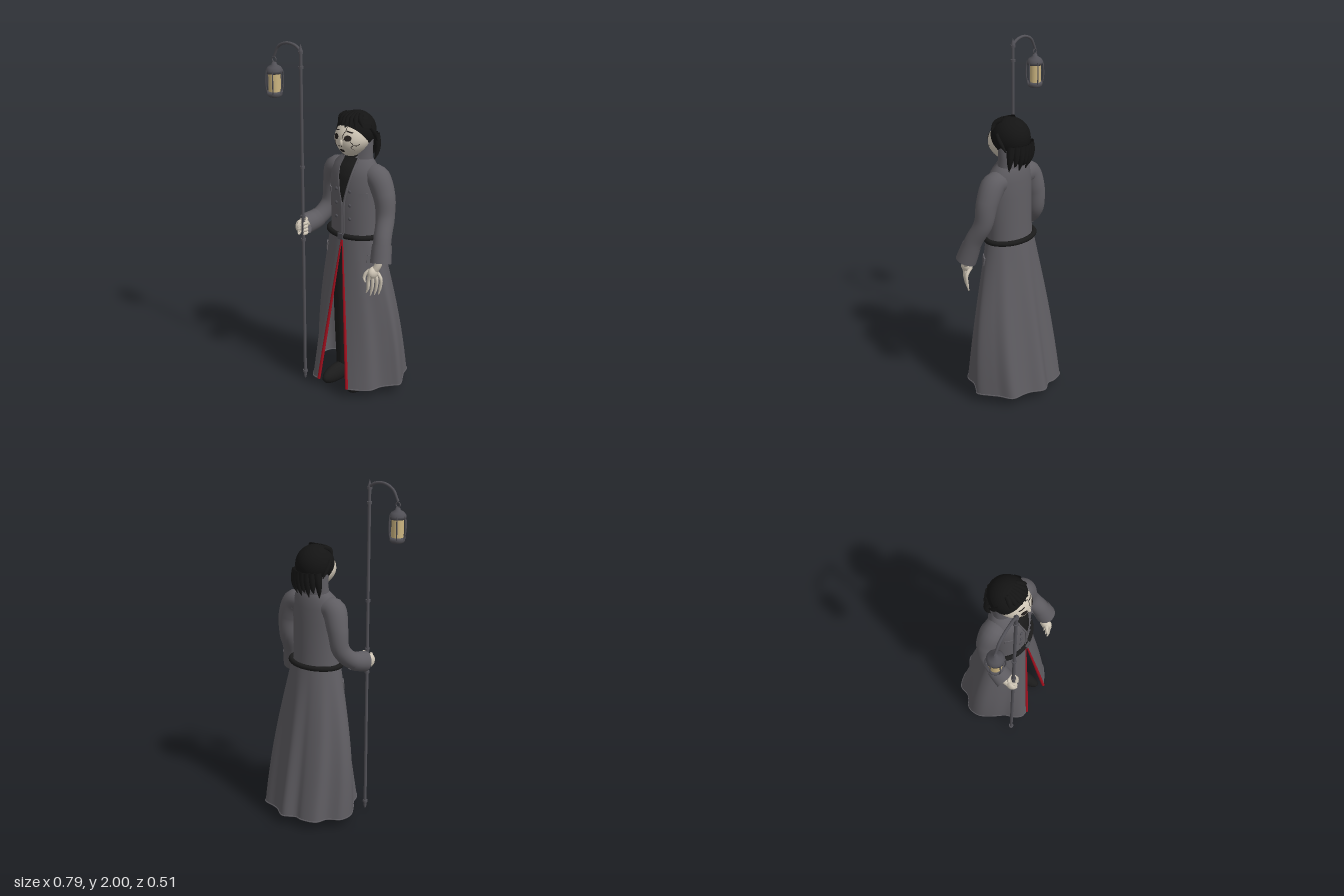
import * as THREE from 'three';

const V = (x, y, z) => new THREE.Vector3(x, y, z);
const CX = 0.08; // body axis; the lantern pole stands to one side
const mat = (name, color, double) => {
  const m = new THREE.MeshStandardMaterial({ color });
  m.name = name;
  if (double) m.side = THREE.DoubleSide;
  return m;
};

export function createModel() {
  const root = new THREE.Group();
  const coat = mat('coat grey', 0x5f5d62, true), red = mat('red trim', 0xa50f1e);
  const black = mat('black cloth', 0x1b1b1b, true), hairM = mat('black hair', 0x141414, true);
  const bone = mat('bone', 0xcfc6b6, true), metal = mat('lantern metal', 0x515056);
  const glass = mat('lantern glass', 0xcdb681), dark = mat('dark hollow', 0x241f1d, true);

  const add = (name, geo, m, parent = root) => {
    const mesh = new THREE.Mesh(geo, m);
    mesh.name = name;
    parent.add(mesh);
    return mesh;
  };
  const group = (name) => {
    const g = new THREE.Group();
    g.name = name;
    root.add(g);
    return g;
  };
  // Tube along a curve whose radius follows a list of values
  const taper = (pts, radii, seg = 24, sides = 14) => {
    const curve = new THREE.CatmullRomCurve3(pts);
    const geo = new THREE.TubeGeometry(curve, seg, 1, sides);
    const p = geo.attributes.position, v = V(0, 0, 0);
    for (let i = 0; i <= seg; i++) {
      const c = curve.getPointAt(i / seg), f = (i / seg) * (radii.length - 1);
      const k = Math.min(Math.floor(f), radii.length - 2);
      const r = THREE.MathUtils.lerp(radii[k], radii[k + 1], f - k);
      for (let j = 0; j <= sides; j++) {
        const n = i * (sides + 1) + j;
        v.fromBufferAttribute(p, n).sub(c).multiplyScalar(r).add(c);
        p.setXYZ(n, v.x, v.y, v.z);
      }
    }
    return geo;
  };
  // Skin over rows of points
  const loft = (rows, closed) => {
    const n = rows[0].length, idx = [];
    for (let i = 0; i < rows.length - 1; i++)
      for (let j = 0; j < (closed ? n : n - 1); j++) {
        const a = i * n + j, b = i * n + (j + 1) % n;
        idx.push(a, b, a + n, b, b + n, a + n);
      }
    const geo = new THREE.BufferGeometry().setFromPoints(rows.flat());
    geo.setIndex(idx);
    geo.computeVertexNormals();
    return geo;
  };
  // Lay a flat geometry onto a front surface z = f(x, y)
  const onto = (geo, x, y, f, off = 0.004) => {
    geo.translate(x, y, 0);
    const p = geo.attributes.position;
    for (let i = 0; i < p.count; i++) p.setZ(i, p.getZ(i) + f(p.getX(i), p.getY(i)) + off);
    geo.computeVertexNormals();
    return geo;
  };
  // Angle 0 faces the front, growing towards +x
  const oval = (y, rx, rz, cz, a) => V(CX + rx * Math.sin(a), y, cz + rz * Math.cos(a));
  const arc = (y, rx, rz, cz, a0, a1, n) =>
    Array.from({ length: n }, (_, i) => oval(y, rx, rz, cz, a0 + (a1 - a0) * i / (n - 1)));

  // Coat body: rows of [y, rx, rz, cz]
  const body = [[0.93, 0.146, 0.113, 0.03], [1.05, 0.143, 0.11, 0.033], [1.2, 0.148, 0.109, 0.035],
    [1.29, 0.148, 0.1, 0.03], [1.34, 0.13, 0.086, 0.022], [1.37, 0.1, 0.068, 0.014], [1.4, 0.075, 0.052, 0.01]];
  const chestZ = (x, y) => {
    let k = 0;
    while (k < body.length - 2 && y > body[k + 1][0]) k++;
    const t = (y - body[k][0]) / (body[k + 1][0] - body[k][0]);
    const [rx, rz, cz] = [1, 2, 3].map((i) => THREE.MathUtils.lerp(body[k][i], body[k + 1][i], t));
    return cz + rz * Math.sqrt(Math.max(0, 1 - ((x - CX) / rx) ** 2));
  };
  add('coatBody', loft([...body].reverse().map(([y, a, b, c]) => arc(y, a, b, c, Math.PI * 2, 0, 41).slice(0, 40)), true), coat);

  // Black shirt in the V of the coat, edged by lapels
  const shirt = new THREE.PlaneGeometry(2, 0.24, 8, 14), sp = shirt.attributes.position;
  for (let i = 0; i < sp.count; i++) {
    const t = sp.getY(i) / 0.24 + 0.5;
    sp.setX(i, sp.getX(i) * (0.004 + 0.04 * Math.min(1, t * 1.5)));
  }
  add('shirt', onto(shirt, CX + 0.004, 1.265, chestZ, 0.005), black);
  add('neck', new THREE.CylinderGeometry(0.048, 0.055, 0.12, 20).translate(CX, 1.4, 0.025), black);
  for (const s of [-1, 1]) {
    const pts = [[0.046, 1.385], [0.044, 1.31], [0.026, 1.22], [0.008, 1.14], [0.007, 1.05], [0.007, 0.96]]
      .map(([x, y]) => V(CX + 0.004 + s * x, y, chestZ(CX + s * x, y) + 0.003));
    add('lapelEdge', taper(pts, [0.005, 0.006, 0.006, 0.004], 30, 8), coat);
  }

  // High collar, open at the front
  const ring = (y, rx, rz, cz) => arc(y, rx, rz, cz, 0.5, Math.PI * 2 - 0.5, 33);
  add('collar', loft([ring(1.35, 0.098, 0.068, 0.012), ring(1.42, 0.092, 0.062, 0.008),
    ring(1.5, 0.1, 0.064, 0.008), ring(1.5, 0.093, 0.058, 0.008), ring(1.42, 0.085, 0.056, 0.008)], false), coat);

  // Long skirt split at the front, with a rippled hem
  const hem = new THREE.CatmullRomCurve3([[0.185, 0.24], [0.245, 0.21], [0.3, 0.165], [0.32, 0.1], [0.365, 0.04],
    [0.39, 0.01], [0.35, -0.075], [0.33, -0.11], [0.3, -0.183], [0.22, -0.2], [0.18, -0.213], [0.105, -0.257],
    [0.03, -0.221], [-0.01, -0.227], [-0.1, -0.2], [-0.125, -0.137], [-0.15, -0.115], [-0.193, -0.085],
    [-0.205, -0.01], [-0.165, 0.07], [-0.115, 0.14], [-0.1, 0.185], [-0.065, 0.232], [-0.02, 0.24]]
    .map(([x, z]) => V(x, 0.055, z)));
  const skirtAt = (u, t) => {
    const w = oval(0.95, 0.152, 0.116, 0.03, u * Math.PI * 2), h = hem.getPointAt(u);
    const p = w.clone().lerp(h, t);
    p.x += (p.x - CX) * 0.14 * Math.sin(Math.PI * t) * Math.abs(Math.sin(u * Math.PI * 2));
    return p;
  };
  const skirtRows = [];
  for (let i = 0; i <= 14; i++) skirtRows.push(Array.from({ length: 97 }, (_, j) => skirtAt(j / 96, 1 - i / 14)));
  add('coatSkirt', loft(skirtRows, false), coat);
  add('hemEdge', new THREE.TubeGeometry(hem, 120, 0.004, 6), coat);
  for (const u of [0, 1]) {
    const pts = [0.01, 0.3, 0.6, 1].map((t) => skirtAt(u, t));
    add('redTrim', taper(pts, [0.004, 0.007, 0.009, 0.009], 20, 8), red);
  }

  // Belt and buckle
  const beltCurve = new THREE.CatmullRomCurve3(arc(0.945, 0.16, 0.118, 0.03, 0, Math.PI * 2, 33).slice(0, 32), true);
  add('belt', new THREE.TubeGeometry(beltCurve, 64, 0.015, 10, true), black);
  add('buckle', new THREE.BoxGeometry(0.036, 0.034, 0.012).translate(CX, 0.945, 0.16), metal);

  // Buttons and pocket flaps
  for (const s of [-1, 1]) {
    for (const y of [1.21, 1.13, 1.05]) {
      const x = CX + s * 0.046;
      add('button', new THREE.SphereGeometry(0.01, 12, 8).scale(1, 1, 0.6).translate(x, y, chestZ(x, y) + 0.002), metal);
    }
    add('breastPocket', onto(new THREE.BoxGeometry(0.042, 0.028, 0.006, 4), CX + s * 0.112, 1.19, chestZ), coat);
    const hip = add('hipPocket', new THREE.BoxGeometry(0.06, 0.045, 0.008), coat);
    const hp = skirtAt(s > 0 ? 0.17 : 0.83, 0.14);
    hip.position.copy(hp);
    hip.rotation.set(-0.1, s * 0.85, 0);
  }

  // Sleeves with flared open cuffs
  const leftArm = [V(0.14, 1.28, 0.015), V(0.215, 1.285, 0.018), V(0.272, 1.19, 0.022), V(0.292, 1.07, 0.035),
    V(0.315, 0.96, 0.09), V(0.335, 0.84, 0.13)];
  const rightArm = [V(0.02, 1.28, 0.015), V(-0.055, 1.285, 0.015), V(-0.098, 1.18, 0.0), V(-0.115, 1.06, 0.01),
    V(-0.142, 0.985, 0.08), V(-0.168, 0.96, 0.165)];
  for (const [side, pts] of [['left', leftArm], ['right', rightArm]]) {
    const arm = group(side + 'Arm');
    add('sleeve', taper(pts, [0.055, 0.07, 0.062, 0.054, 0.05, 0.05, 0.056], 36, 20), coat, arm);
    const c = new THREE.CatmullRomCurve3(pts);
    add('cuff', taper([0.82, 0.88, 0.94, 1].map((t) => c.getPointAt(t)), [0.054, 0.056, 0.058, 0.059], 8, 20), coat, arm);
  }

  // Right hand closed around the pole
  const PX = -0.153, PZ = 0.205;
  const grip = group('rightHand');
  add('wrist', taper([V(-0.168, 0.965, 0.12), V(-0.172, 0.965, 0.165), V(-0.173, 0.962, 0.2)], [0.022, 0.022, 0.024], 10, 10), bone, grip);
  add('palm', new THREE.SphereGeometry(0.03, 14, 10).scale(0.6, 1.2, 1).translate(-0.18, 0.957, 0.205), bone, grip);
  for (let i = 0; i < 4; i++) {
    const f = add('finger', new THREE.TorusGeometry(0.022, 0.0095, 8, 18, 5), bone, grip);
    f.rotation.set(Math.PI / 2, 0, 1.9);
    f.position.set(PX, 0.925 + i * 0.02, PZ + 0.004);
  }
  add('thumb', taper([V(-0.178, 0.99, 0.19), V(-0.16, 1.0, 0.182), V(-0.135, 1.005, 0.195), V(-0.128, 1.0, 0.212)], [0.01, 0.01, 0.009, 0.002], 12, 8), bone, grip);

  // Left hand hanging with slim bony fingers
  const hand = group('leftHand');
  add('wrist', taper([V(0.332, 0.88, 0.125), V(0.325, 0.83, 0.14), V(0.305, 0.79, 0.152)], [0.02, 0.02, 0.02], 10, 10), bone, hand);
  add('palm', new THREE.SphereGeometry(0.04, 14, 10).scale(0.65, 0.85, 0.95).translate(0.303, 0.785, 0.155), bone, hand);
  for (let i = 0; i < 4; i++) {
    const z = 0.127 + i * 0.019, x = 0.33 - i * 0.014;
    add('finger', taper([V(0.303, 0.785, z), V(x + 0.005, 0.745, z), V(x + 0.003, 0.7, z), V(x - 0.01, 0.648 + (i === 3 ? 0.02 : 0), z)],
      [0.011, 0.01, 0.009, 0.008, 0.003], 16, 8), bone, hand);
  }
  add('thumb', taper([V(0.29, 0.8, 0.165), V(0.272, 0.78, 0.182), V(0.268, 0.755, 0.19), V(0.28, 0.735, 0.195)], [0.012, 0.01, 0.009, 0.003], 14, 8), bone, hand);

  // Legs and boots
  for (const s of [-1, 1]) {
    const x = CX + s * 0.09, leg = group(s > 0 ? 'leftLeg' : 'rightLeg');
    add('trouser', taper([V(CX + s * 0.065, 0.92, 0.03), V(CX + s * 0.08, 0.5, 0.035), V(x, 0.06, 0.02)], [0.07, 0.055, 0.042], 16, 14), black, leg);
    const boot = new THREE.SphereGeometry(1, 20, 14).scale(0.045, 0.055, 0.13);
    const p = boot.attributes.position;
    for (let i = 0; i < p.count; i++) p.setY(i, Math.max(p.getY(i), -0.035) + 0.035);
    boot.computeVertexNormals();
    add('boot', boot.translate(x, 0, 0.08), black, leg);
  }

  // Pale mask face narrowing to the chin
  const head = group('head');
  const jaw = (n) => 1 - 0.35 * Math.pow(Math.max(0, -n), 1.5);
  const faceZ = (x, y) => {
    const n = (y - 1.49) / 0.105;
    return 0.05 + 0.105 * Math.sqrt(Math.max(0, 1 - n * n - ((x - CX) / (0.098 * jaw(n))) ** 2));
  };
  const face = new THREE.SphereGeometry(1, 32, 24), fp = face.attributes.position;
  for (let i = 0; i < fp.count; i++) fp.setX(i, fp.getX(i) * jaw(fp.getY(i)));
  face.scale(0.098, 0.105, 0.105).translate(CX, 1.49, 0.05);
  face.computeVertexNormals();
  add('face', face, bone, head);
  for (const s of [-1, 1]) {
    add('eye', onto(new THREE.CircleGeometry(0.019, 20).scale(1, 0.85, 1), CX + s * 0.038, 1.512, faceZ), dark, head);
    add('brow', onto(new THREE.PlaneGeometry(0.034, 0.006, 4).rotateZ(s * -0.25), CX + s * 0.04, 1.545, faceZ), dark, head);
    add('nostril', onto(new THREE.CircleGeometry(0.004, 8), CX + s * 0.008, 1.468, faceZ, 0.01), dark, head);
  }
  add('nose', new THREE.SphereGeometry(0.013, 12, 10).scale(0.8, 1.5, 0.8).translate(CX, 1.482, 0.153), bone, head);
  add('mouth', onto(new THREE.CircleGeometry(0.016, 16).scale(1, 0.55, 1), CX, 1.438, faceZ), dark, head);
  // Cracks in the mask
  for (const line of [[[0.13, 1.495], [0.142, 1.475], [0.13, 1.46], [0.14, 1.44]], [[0.142, 1.475], [0.155, 1.47], [0.165, 1.48]],
    [[0.09, 1.58], [0.098, 1.55], [0.088, 1.525], [0.094, 1.5]], [[0.03, 1.49], [0.022, 1.47], [0.032, 1.45]]])
    add('crack', taper(line.map(([x, y]) => V(x, y, faceZ(x, y))), [0.0012, 0.002, 0.0012], 12, 5), dark, head);

  // Hair: tilted cap, swept fringe and locks at the nape
  const cap = new THREE.SphereGeometry(1, 36, 22, 0, Math.PI * 2, 0, 2.0).rotateX(-0.87);
  cap.scale(0.107, 0.11, 0.113).translate(CX, 1.525, 0.02);
  cap.computeVertexNormals();
  add('hairCap', cap, hairM, head);
  for (let i = 0; i < 7; i++) {
    const k = i / 3 - 1, x = CX + k * 0.075;
    const side = 0.03 * k * k;
    add('napeLock', taper([V(x, 1.5, -0.082 + side), V(x + k * 0.012, 1.44, -0.085 + side), V(x + k * 0.012, 1.395, -0.08 + side),
      V(x + k * 0.004, 1.355 + 0.025 * (i % 2), -0.068 + side)], [0.024, 0.021, 0.014, 0.002], 14, 8), hairM, head);
    add('fringeLock', taper([V(CX + k * 0.045, 1.622, 0.04), V(CX + k * 0.065, 1.603, 0.092 - side * 0.7),
      V(CX + k * 0.083 + 0.006, 1.568 - 0.006 * (i % 2), 0.126 - side * 1.6)], [0.014, 0.016, 0.004], 12, 8), hairM, head);
  }
  for (const s of [-1, 1])
    add('sideLock', taper([V(CX + s * 0.1, 1.56, 0.03), V(CX + s * 0.106, 1.52, 0.0), V(CX + s * 0.1, 1.47, -0.035)], [0.012, 0.014, 0.003], 12, 8), hairM, head);

  // Lantern pole with collars and a bent arm
  const staff = group('lanternStaff');
  add('pole', new THREE.CylinderGeometry(0.009, 0.009, 1.95, 14).translate(PX, 0.99, PZ), metal, staff);
  add('poleTip', new THREE.CylinderGeometry(0.012, 0.005, 0.04, 12).translate(PX, 0.02, PZ), metal, staff);
  add('poleCap', new THREE.ConeGeometry(0.013, 0.045, 12).translate(PX, 1.977, PZ), metal, staff);
  for (const y of [0.045, 0.88, 1.02, 1.31, 1.87, 1.952])
    add('poleCollar', new THREE.CylinderGeometry(0.014, 0.014, 0.014, 14).translate(PX, y, PZ), metal, staff);
  const LX = -0.343;
  add('bentArm', taper([V(PX, 1.96, PZ), V(-0.19, 1.983, PZ), V(-0.25, 1.99, PZ), V(-0.308, 1.965, PZ), V(-0.343, 1.905, PZ)], [0.009, 0.008, 0.008, 0.007], 28, 10), metal, staff);

  // Hanging lantern
  const lantern = group('lantern');
  lantern.position.set(LX, 0, PZ);
  const lathe = (pts) => new THREE.LatheGeometry(pts.map(([x, y]) => new THREE.Vector2(x, y)), 20);
  add('hangingRing', new THREE.TorusGeometry(0.014, 0.0035, 8, 18).translate(0, 1.887, 0), metal, lantern);
  add('roof', lathe([[0, 1.812], [0.047, 1.812], [0.047, 1.828], [0.036, 1.846], [0.016, 1.858], [0.01, 1.874], [0, 1.875]]), metal, lantern);
  add('glass', new THREE.CylinderGeometry(0.034, 0.034, 0.11, 20).translate(0, 1.762, 0), glass, lantern);
  add('base', lathe([[0, 1.68], [0.034, 1.68], [0.042, 1.69], [0.044, 1.71], [0, 1.712]]), metal, lantern);
  for (let i = 0; i < 6; i++) {
    const bar = add('cageBar', taper([V(0.042, 1.7, 0), V(0.05, 1.74, 0), V(0.05, 1.79, 0), V(0.046, 1.83, 0)], [0.0035, 0.0035], 12, 6), metal, lantern);
    bar.rotation.y = i * Math.PI / 3;
  }
  return root;
}
